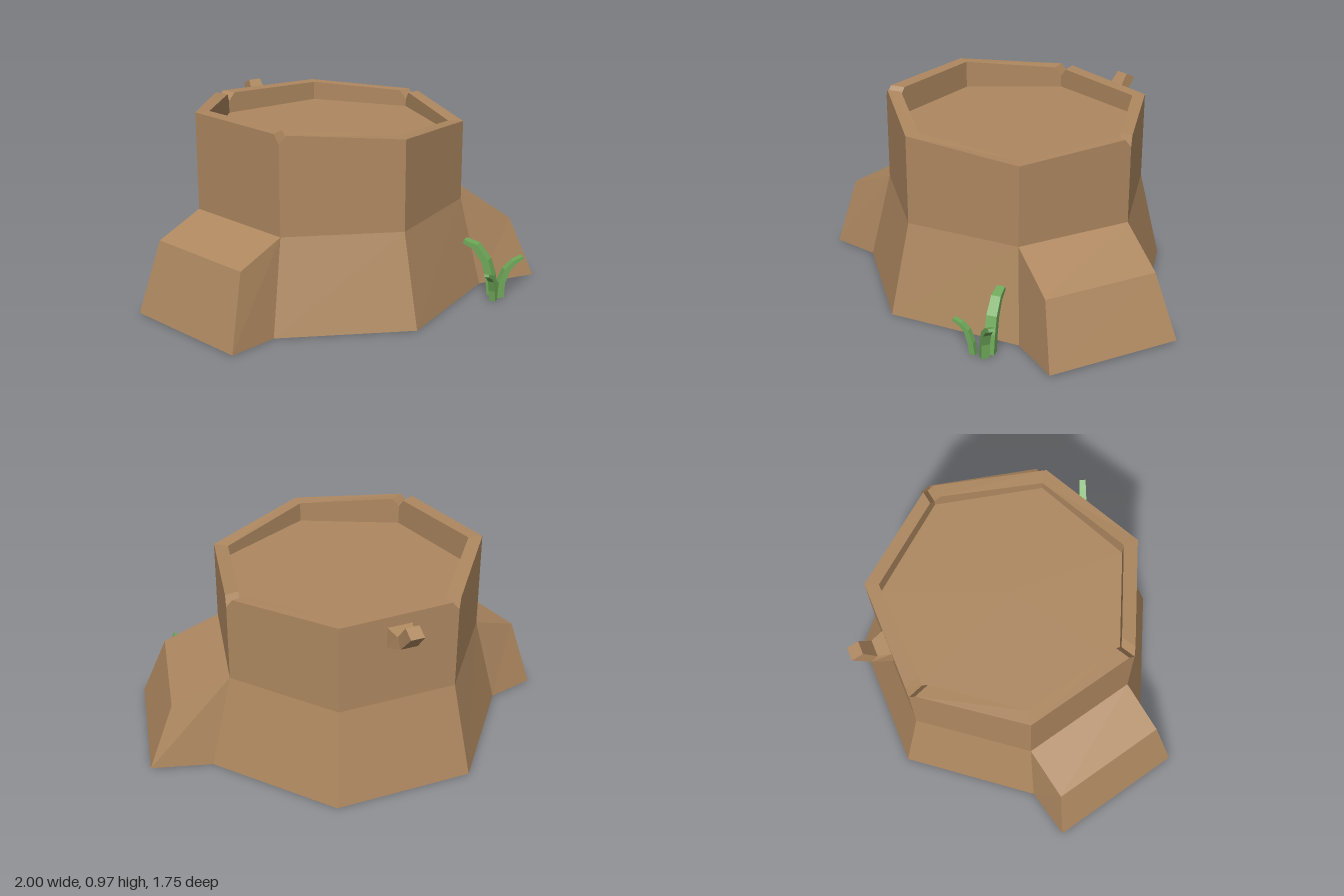
import * as THREE from 'three';

const wood = new THREE.MeshStandardMaterial({ name: 'wood', color: 0xae8860, side: THREE.DoubleSide });
const leaf = new THREE.MeshStandardMaterial({ name: 'grass green', color: 0x6fa85a, side: THREE.DoubleSide });

// Flat-shaded mesh from a list of four-cornered faces
function quadMesh(name, quads, material) {
  const pos = quads.flatMap(([a, b, c, d]) => [a, b, c, a, c, d]).flat();
  const geo = new THREE.BufferGeometry();
  geo.setAttribute('position', new THREE.Float32BufferAttribute(pos, 3));
  geo.computeVertexNormals();
  const mesh = new THREE.Mesh(geo, material);
  mesh.name = name;
  return mesh;
}

// Faces between two closed rings
const band = (lo, hi) => lo.map((p, i) => {
  const j = (i + 1) % lo.length;
  return [p, lo[j], hi[j], hi[i]];
});

// Corners, anticlockwise from the left: x, z, rim height
const corners = [
  [-0.72, 0.17, 0.968], [-0.28, 0.57, 0.967], [0.305, 0.475, 0.926], [0.6, -0.04, 0.88],
  [0.37, -0.595, 0.91], [-0.2, -0.76, 0.922], [-0.69, -0.42, 0.932],
];
const inner = [[-0.655, 0.14], [-0.246, 0.5], [0.265, 0.413], [0.525, -0.045], [0.32, -0.548], [-0.187, -0.692], [-0.622, -0.375]];
const ground = [[-0.83, 0.21], [-0.31, 0.68], [0.37, 0.57], [0.71, -0.035], [0.45, -0.68], [-0.22, -0.875], [-0.79, -0.48]];
const BEND = 0.47, FLOOR = 0.825;
const notched = [1, 4, 6];

// Roots by the edge they grow from: outer top and outer ground corners
const roots = {
  0: { top: [[-0.89, 0.37, 0.36], [-0.45, 0.37, 0.76]], foot: [[-1, 0, 0.4], [-0.485, 0, 0.87]] },
  3: { top: [[0.865, 0.33, -0.14], [0.64, 0.33, -0.69]], foot: [[1, 0.01, -0.15], [0.735, 0.01, -0.79]] },
};

// Ring with V-shaped nicks at the notched corners
function nickedRing(points, depth) {
  const toward = (p, q) => {
    const d = new THREE.Vector3(...q).sub(new THREE.Vector3(...p)).setLength(0.035);
    return [p[0] + d.x, p[1] + d.y, p[2] + d.z];
  };
  return points.flatMap((p, i) => {
    if (!notched.includes(i)) return [p];
    const n = points.length;
    return [toward(p, points[(i + n - 1) % n]), [p[0], p[1] - depth, p[2]], toward(p, points[(i + 1) % n])];
  });
}

function buildStump() {
  const stump = new THREE.Group();
  stump.name = 'stump';
  const mid = corners.map(([x, z]) => [x, BEND, z]);
  const foot = ground.map(([x, z]) => [x, 0, z]);
  const outerTop = nickedRing(corners.map(([x, z, y]) => [x, y, z]), 0.045);
  const innerTop = nickedRing(inner.map(([x, z], i) => [x, corners[i][2], z]), 0.045);
  const floor = nickedRing(inner.map(([x, z]) => [x, FLOOR, z]), 0);
  const wallFoot = nickedRing(mid, 0);

  stump.add(quadMesh('trunkWall', band(wallFoot, outerTop), wood));
  stump.add(quadMesh('rim', band(outerTop, innerTop), wood));
  stump.add(quadMesh('innerWall', band(innerTop, floor), wood));
  const centre = [-0.05, FLOOR, -0.08];
  stump.add(quadMesh('hollowFloor', band(floor, floor.map(() => centre)), wood));

  // Flared base, opening into a root on two edges
  const flare = band(foot, mid);
  stump.add(quadMesh('flaredBase', flare.filter((_, i) => !roots[i]), wood));
  for (const [edge, r] of Object.entries(roots)) {
    const [g0, g1, m1, m0] = flare[edge];
    stump.add(quadMesh('root', [
      [r.top[0], r.top[1], m1, m0],
      [r.foot[0], r.foot[1], r.top[1], r.top[0]],
      [g0, r.foot[0], r.top[0], m0],
      [r.foot[1], g1, m1, r.top[1]],
    ], wood));
  }
  return stump;
}

// Square bar swept along a bent path; path rows: out, up, half width, half thickness
function bentBar(name, [x, z], [dx, dz], path, material) {
  const rings = path.map(([o, y, w, t], i) => {
    const a = path[Math.max(i - 1, 0)], b = path[Math.min(i + 1, path.length - 1)];
    const len = Math.hypot(b[0] - a[0], b[1] - a[1]);
    const no = i ? -(b[1] - a[1]) / len : -1, ny = i ? (b[0] - a[0]) / len : 0;
    return [[-1, -1], [1, -1], [1, 1], [-1, 1]].map(([s, k]) => {
      const out = o + no * t * k;
      return [x + dx * out - dz * w * s, y + ny * t * k, z + dz * out + dx * w * s];
    });
  });
  const quads = rings.slice(1).flatMap((r, i) => band(r, rings[i]));
  quads.push(rings[0], [...rings[rings.length - 1]].reverse());
  return quadMesh(name, quads, material);
}

// Broken twig on the back wall: broad base, elbow, raised tip
function buildTwig() {
  const [dx, dz] = [-0.57, -0.82];
  const at = (o, y, s) => [-0.445 + dx * o - dz * s, y, -0.59 + dz * o + dx * s];
  const ring = (o0, y0, o1, y1, w) => [at(o0, y0, -w), at(o0, y0, w), at(o1, y1, w), at(o1, y1, -w)];
  const rings = [
    ring(-0.01, 0.76, -0.01, 0.875, 0.066),
    ring(0.1, 0.81, 0.065, 0.855, 0.042),
    ring(0.185, 0.905, 0.125, 0.935, 0.034),
  ];
  const quads = rings.slice(1).flatMap((r, i) => band(rings[i], r));
  quads.push(rings[2]);
  return quadMesh('twig', quads, wood);
}

function buildGrass() {
  const grass = new THREE.Group();
  grass.name = 'grass';
  grass.add(
    bentBar('tallBlade', [0.765, 0.105], [-0.92, -0.4],
      [[0, 0, 0.025, 0.02], [0.01, 0.1, 0.027, 0.02], [0.035, 0.18, 0.026, 0.019], [0.09, 0.25, 0.024, 0.016], [0.155, 0.27, 0.02, 0.011]], leaf),
    bentBar('sideBlade', [0.8, 0.135], [0.97, -0.24],
      [[0, 0, 0.02, 0.018], [0.005, 0.08, 0.021, 0.017], [0.03, 0.145, 0.02, 0.014], [0.07, 0.185, 0.018, 0.011], [0.115, 0.208, 0.016, 0.008]], leaf),
    bentBar('shortBlade', [0.765, 0.185], [-0.45, 0.89],
      [[0, 0, 0.016, 0.015], [0.008, 0.06, 0.017, 0.014], [0.03, 0.12, 0.016, 0.012], [0.06, 0.15, 0.015, 0.01], [0.1, 0.168, 0.013, 0.007]], leaf),
  );
  return grass;
}

export function createModel() {
  const model = new THREE.Group();
  model.name = 'treeStump';
  model.add(buildStump(), buildTwig(), buildGrass());
  return model;
}
